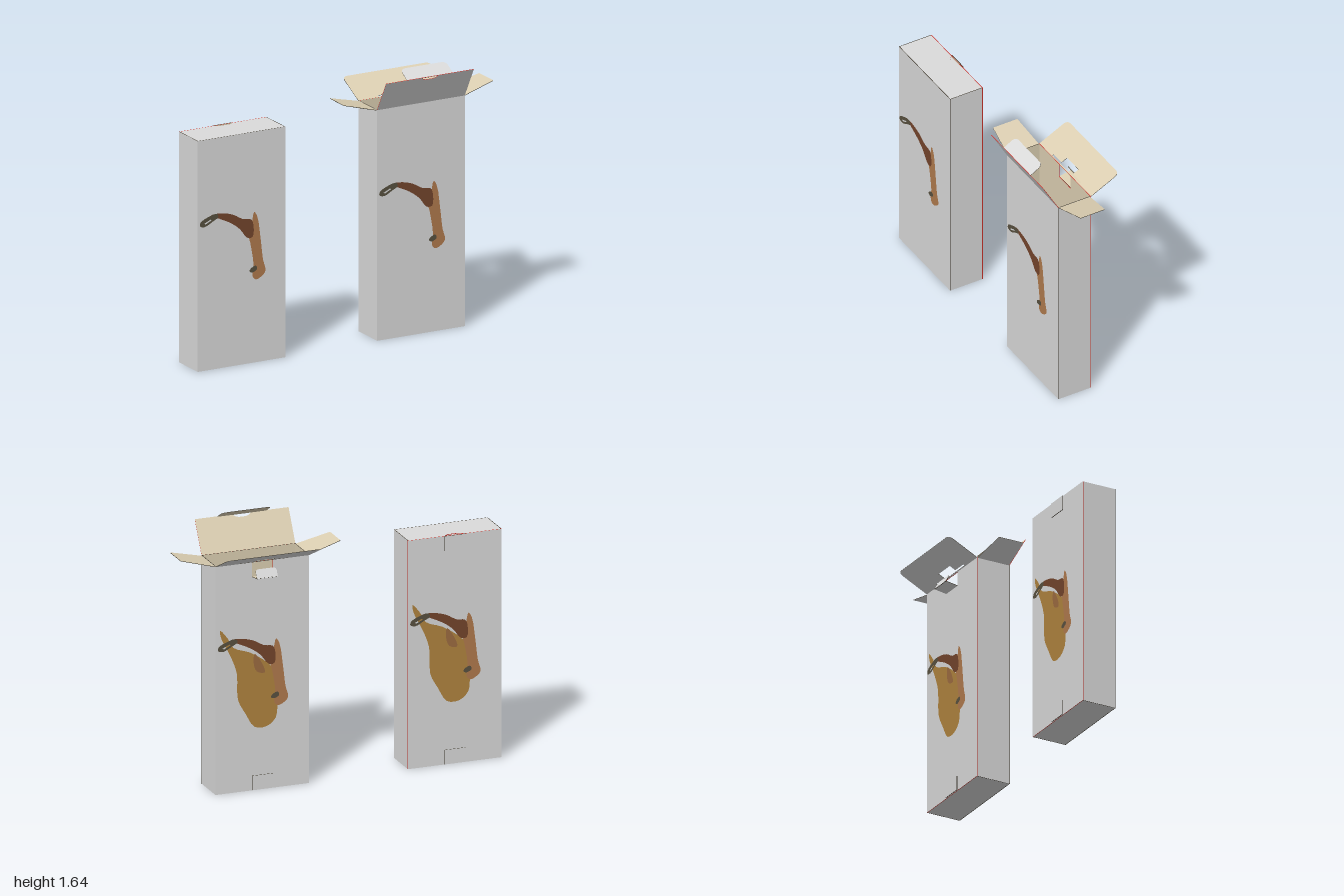
import * as THREE from 'three';

const W = 0.585, D = 0.22, H = 1.4, T = 0.004;

const mat = (name, color, side = THREE.FrontSide) => {
  const m = new THREE.MeshStandardMaterial({ color, side });
  m.name = name;
  return m;
};

// Polygon from [x, y] pairs
const poly = (pts) => new THREE.Shape(pts.map(([x, y]) => new THREE.Vector2(x, y)));
const rect = (w, y0, y1) => poly([[-w / 2, y0], [w / 2, y0], [w / 2, y1], [-w / 2, y1]]);

// Flap outline: hinge along y = 0, rounded free corners
function flapShape(w0, w1, len, r) {
  const s = new THREE.Shape(), a = w0 / 2, b = w1 / 2;
  s.moveTo(-a, 0);
  s.lineTo(a, 0);
  s.lineTo(b, len - r);
  s.quadraticCurveTo(b, len, b - r, len);
  s.lineTo(-b + r, len);
  s.quadraticCurveTo(-b, len, -b, len - r);
  return s;
}
const smooth = (pts) => new THREE.Shape(
  new THREE.CatmullRomCurve3(pts.map(([x, y]) => new THREE.Vector3(x, y, 0)), true, 'centripetal')
    .getPoints(pts.length * 3).map((p) => new THREE.Vector2(p.x, p.y)));

// Printed picture outlines, measured from the left edge of a panel
const ART = {
  stick: [[.377, .914], [.398, .882], [.42, .743], [.436, .615], [.452, .545], [.42, .513], [.388, .503],
    [.366, .524], [.372, .599], [.35, .733], [.34, .775], [.361, .85]],
  arm: [[.088, .936], [.142, .941], [.233, .92], [.302, .882], [.356, .872], [.372, .83], [.366, .765],
    [.329, .765], [.281, .824], [.217, .872], [.142, .909]],
  hook: [[.019, .904], [.056, .925], [.126, .941], [.136, .92], [.099, .898], [.045, .872], [.013, .882]],
  hookHole: [[.042, .893], [.085, .913], [.092, .907], [.05, .887]],
  knob: [[.348, .57], [.385, .588], [.396, .567], [.366, .549], [.346, .556]],
  body: [[.028, 1.004], [.077, .948], [.111, .888], [.216, .846], [.327, .769], [.397, .687], [.425, .6], [.39, .52],
    [.376, .43], [.32, .383], [.244, .387], [.188, .473], [.139, .568], [.132, .73], [.09, .845], [.035, .955]],
  patch: [[.244, .835], [.29, .772], [.307, .714], [.257, .725], [.237, .783]],
};

export function createModel() {
  const outside = mat('outer card', 0xdadada);
  const inside = mat('inner card', 0xdccfb2);
  const edge = mat('cut edge', 0x3a3428);
  const red = mat('red edge', 0xc8322a);
  const brown = mat('dark wood', 0x74452c);
  const tan = mat('light wood', 0xb07a4d);
  const olive = mat('dark metal', 0x585140);
  const ochre = mat('ochre print', 0xb0843f);
  const patchMat = mat('brown print', 0x9c6b40);

  // Card sheet: inside face, outside face and rim have separate materials
  function sheet(parent, name, shape, rim = edge, thick = T) {
    const g = new THREE.ExtrudeGeometry(shape, { depth: thick, bevelEnabled: false, curveSegments: 6 });
    g.translate(0, 0, -thick);
    const [caps, sides] = g.groups;
    g.clearGroups();
    g.addGroup(0, caps.count / 2, 0);
    g.addGroup(caps.count / 2, caps.count / 2, 1);
    g.addGroup(sides.start, sides.count, 2);
    const m = new THREE.Mesh(g, [inside, outside, rim]);
    m.name = name;
    parent.add(m);
    return m;
  }

  // Hinged sheet: rises from (y, z) and leans outwards by an angle
  function flap(parent, name, shape, y, z, angle, rim) {
    const m = sheet(parent, name, shape, rim, 0.003);
    m.position.set(0, y, z);
    m.rotation.x = angle;
    return m;
  }

  // Local frame of one side, with +z pointing outwards
  function frame(box, name, turn, dist) {
    const g = new THREE.Group();
    g.name = name;
    g.rotation.y = turn;
    g.position.set(Math.sin(turn) * dist, 0, Math.cos(turn) * dist);
    box.add(g);
    return g;
  }

  function picture(parent, withBody) {
    const layers = [['stick', tan], ['arm', brown], ['hook', olive], ['knob', olive]];
    if (withBody) layers.unshift(['body', ochre], ['patch', patchMat]);
    layers.forEach(([key, m], i) => {
      const s = smooth(ART[key]);
      if (key === 'hook') s.holes.push(poly(ART.hookHole));
      const p = new THREE.Mesh(new THREE.ShapeGeometry(s), m);
      p.name = key + 'Print';
      p.position.set(-W / 2, 0, 0.0008 * (i + 1));
      parent.add(p);
    });
  }

  // Walls, base and prints shared by both cartons
  function carton(name, x, z, backHole) {
    const box = new THREE.Group();
    box.name = name;
    box.position.set(x, 0, z);
    const front = frame(box, 'frontSide', 0, D / 2);
    const back = frame(box, 'backSide', Math.PI, D / 2);
    const left = frame(box, 'leftSide', Math.PI / 2, W / 2);
    const right = frame(box, 'rightSide', -Math.PI / 2, W / 2);
    sheet(front, 'frontWall', rect(W, 0, H));
    const backShape = rect(W, 0, H);
    if (backHole) backShape.holes.push(rect(0.13, 1.308, 1.396));
    sheet(back, 'backWall', backShape, red);
    for (const s of [left, right]) sheet(s, 'sideWall', rect(D - 2 * T, 0, H));
    const base = sheet(box, 'base', rect(W - 2 * T, -D / 2 + T, D / 2 - T));
    base.rotation.x = Math.PI / 2;
    lockTab(back, 'baseLockTab', 0.002, 0.09);
    picture(front, false);
    picture(back, true);
    return { box, front, back, left, right };
  }
  function lockTab(parent, name, y0, y1) {
    const tab = sheet(parent, name, rect(0.13, y0, y1), edge, 0.005);
    tab.position.z = 0.006;
  }

  const model = new THREE.Group();
  model.name = 'cartons';

  // Closed carton: lid with thumb notch, inner flap below it and lock tab
  const closed = carton('closedCarton', -0.7075, 0.055, false);
  const a = W / 2 - T, b = D / 2 - T;
  const lid = sheet(closed.box, 'lid', poly([[-a, -b], [a, -b], [a, b], [0.062, b],
    [0.035, b - 0.022], [-0.035, b - 0.022], [-0.062, b], [-a, b]]), red);
  const inner = sheet(closed.box, 'innerLid', rect(2 * a, -b, b));
  for (const [m, y] of [[lid, H], [inner, H - 0.006]]) {
    m.rotation.x = -Math.PI / 2;
    m.position.y = y;
  }
  lockTab(closed.back, 'topLockTab', 1.31, H);
  model.add(closed.box);

  // Open carton: front flap with tuck tongue
  const open = carton('openCarton', 0.5, 0.04, true);
  const frontShape = rect(W, 0, 0.215);
  frontShape.holes.push(poly([[-0.058, 0.213], [-0.04, 0.2], [-0.02, 0.195], [0.02, 0.195], [0.04, 0.2], [0.058, 0.213]]));
  flap(open.front, 'frontFlap', frontShape, H, 0, 0.516, red);
  flap(open.front, 'tuckTongue', flapShape(0.305, 0.305, 0.095, 0.035), 1.587, 0.106, -1.04);

  // Back flap with slot, and the tab pushed out of the cut-out
  const backFlap = flapShape(W, W, 0.212, 0.035);
  backFlap.holes.push(poly([[-0.155, 0.006], [0.155, 0.006], [0.155, 0.016], [0.065, 0.016],
    [0.065, 0.058], [-0.065, 0.058], [-0.065, 0.016], [-0.155, 0.016]]));
  flap(open.back, 'backFlap', backFlap, H - 0.003, 0, 1.107);
  flap(open.back, 'hangTab', rect(0.13, 0, 0.08), 1.308, 0, 1.42);
  flap(open.back, 'hangTabEnd', flapShape(0.13, 0.13, 0.057, 0.02), 1.32, 0.08, -0.51);

  // Side dust flaps
  for (const s of [open.left, open.right])
    flap(s, 'dustFlap', flapShape(0.208, 0.165, 0.214, 0.006), H - 0.004, 0, 1.315);
  model.add(open.box);
  return model;
}
